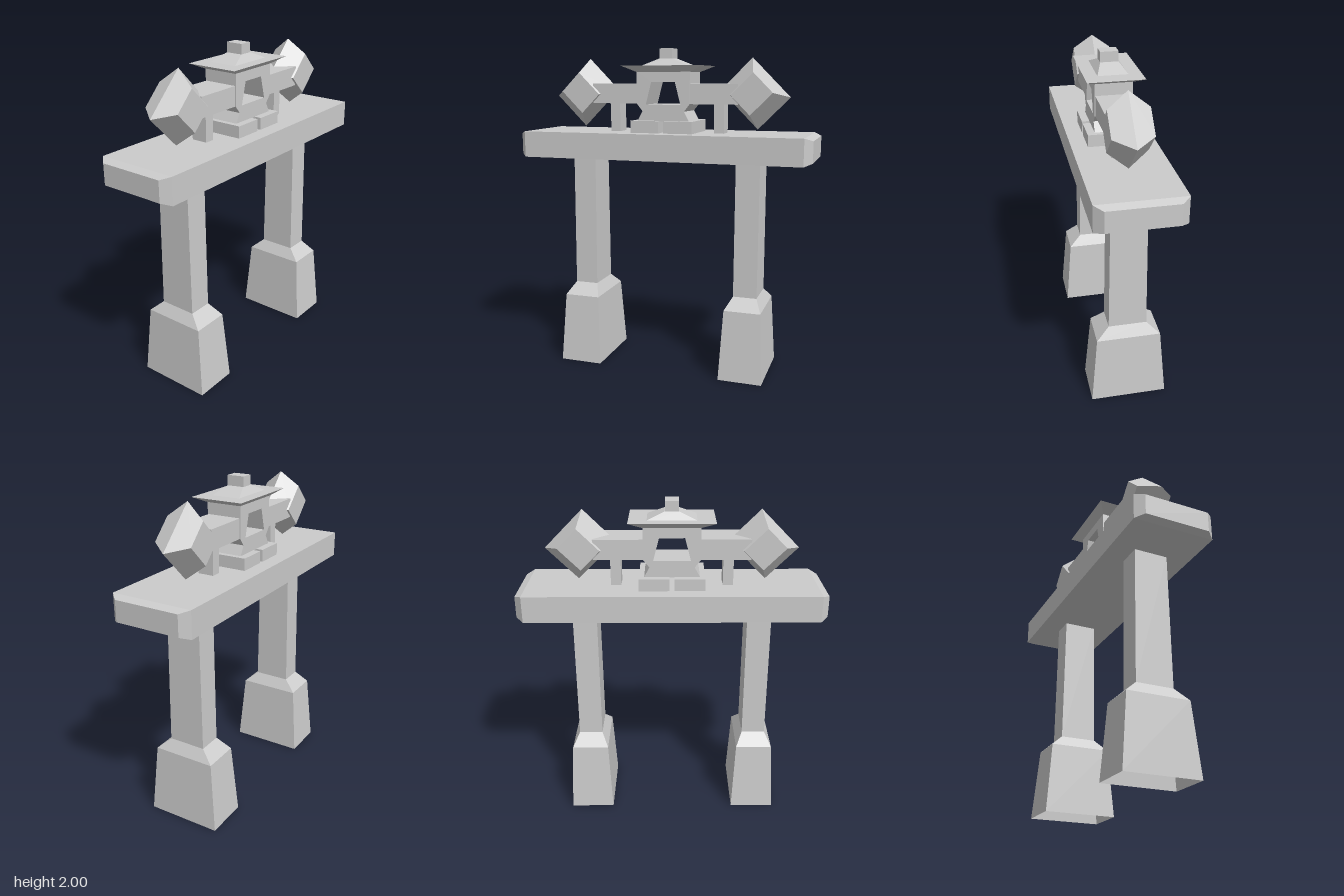
import * as THREE from 'three';

const material = new THREE.MeshStandardMaterial({ color: 0xcccccc, flatShading: true, side: THREE.DoubleSide });

// Stack of rectangles along y, each given as [y, halfX, halfZ]
function loft(rings, openBottom = false) {
  const n = rings.length - 1;
  const geo = new THREE.BoxGeometry(2, n, 2, 1, n, 1);
  const pos = geo.attributes.position;
  for (let i = 0; i < pos.count; i++) {
    const [y, hx, hz] = rings[Math.round(pos.getY(i) + n / 2)];
    pos.setXYZ(i, pos.getX(i) * hx, y, pos.getZ(i) * hz);
  }
  if (openBottom) {
    const { start, count } = geo.groups[3];
    geo.setIndex(Array.from(geo.index.array).filter((_, i) => i < start || i >= start + count));
    geo.clearGroups();
  }
  const flat = geo.toNonIndexed();
  flat.computeVertexNormals();
  return flat;
}

export function createModel() {
  const model = new THREE.Group();
  const add = (name, geo, x = 0, y = 0, z = 0) => {
    const mesh = new THREE.Mesh(geo, material);
    mesh.name = name;
    mesh.position.set(x, y, z);
    model.add(mesh);
    return mesh;
  };
  const box = (name, hx, y0, y1, z0, z1) =>
    add(name, new THREE.BoxGeometry(2 * hx, y1 - y0, Math.abs(z1 - z0)), 0, (y0 + y1) / 2, (z0 + z1) / 2);

  // Deck with tapered ends
  const deck = loft([[-0.915, 0.2, 0.063], [-0.87, 0.25, 0.08], [0.87, 0.25, 0.08], [0.915, 0.2, 0.063]]);
  add('deck', deck.rotateX(Math.PI / 2), 0, 1.415, 0);

  for (const s of [1, -1]) {
    const side = s > 0 ? 'front' : 'back';

    // Leg with flared, open foot
    add(side + 'Leg', loft([
      [0, 0.23, 0.135], [0.435, 0.193, 0.113], [0.505, 0.115, 0.073], [1.34, 0.105, 0.073],
    ], true), 0, 0, s * 0.527);

    // Beam, its post and the pedestal block
    box(side + 'Beam', 0.105, 1.67, 1.79, s * 0.16, s * 0.46);
    box(side + 'Post', 0.05, 1.49, 1.68, s * 0.303, s * 0.365);
    box(side + 'PedestalBlock', 0.155, 1.49, 1.568, s * 0.015, s * 0.195);

    // Tilted block, widest in the middle, at the end of the beam
    const head = loft([[-0.115, 0.082, 0.093], [0, 0.163, 0.135], [0.115, 0.082, 0.093]]);
    head.rotateZ(-Math.PI / 2).rotateX(-s * Math.PI / 4);
    add(side + 'EndBlock', head, 0, 1.732, s * 0.541);
  }

  // Central frame with a trapezoid window through it (profile in z, y)
  const v = (points) => points.map(([z, y]) => new THREE.Vector2(z, y));
  const mirrored = (half) => v([...half, ...half.map(([z, y]) => [-z, y]).reverse()]);
  const frame = new THREE.Shape(mirrored([[0.165, 1.565], [0.132, 1.625], [0.168, 1.67], [0.168, 1.865]]));
  frame.holes.push(new THREE.Path(mirrored([[0.11, 1.665], [0.075, 1.8]])));
  const frameGeo = new THREE.ExtrudeGeometry(frame, { depth: 0.22, bevelEnabled: false });
  add('windowFrame', frameGeo.translate(0, 0, -0.11).rotateY(Math.PI / 2));

  // Roof: flared eave, low hip and finial
  add('eave', loft([[1.86, 0.11, 0.17], [1.897, 0.165, 0.252]]));
  add('hipRoof', loft([[1.895, 0.09, 0.15], [1.94, 0.053, 0.042]]));
  add('finial', loft([[1.93, 0.053, 0.04], [2, 0.053, 0.04]]));

  return model;
}
